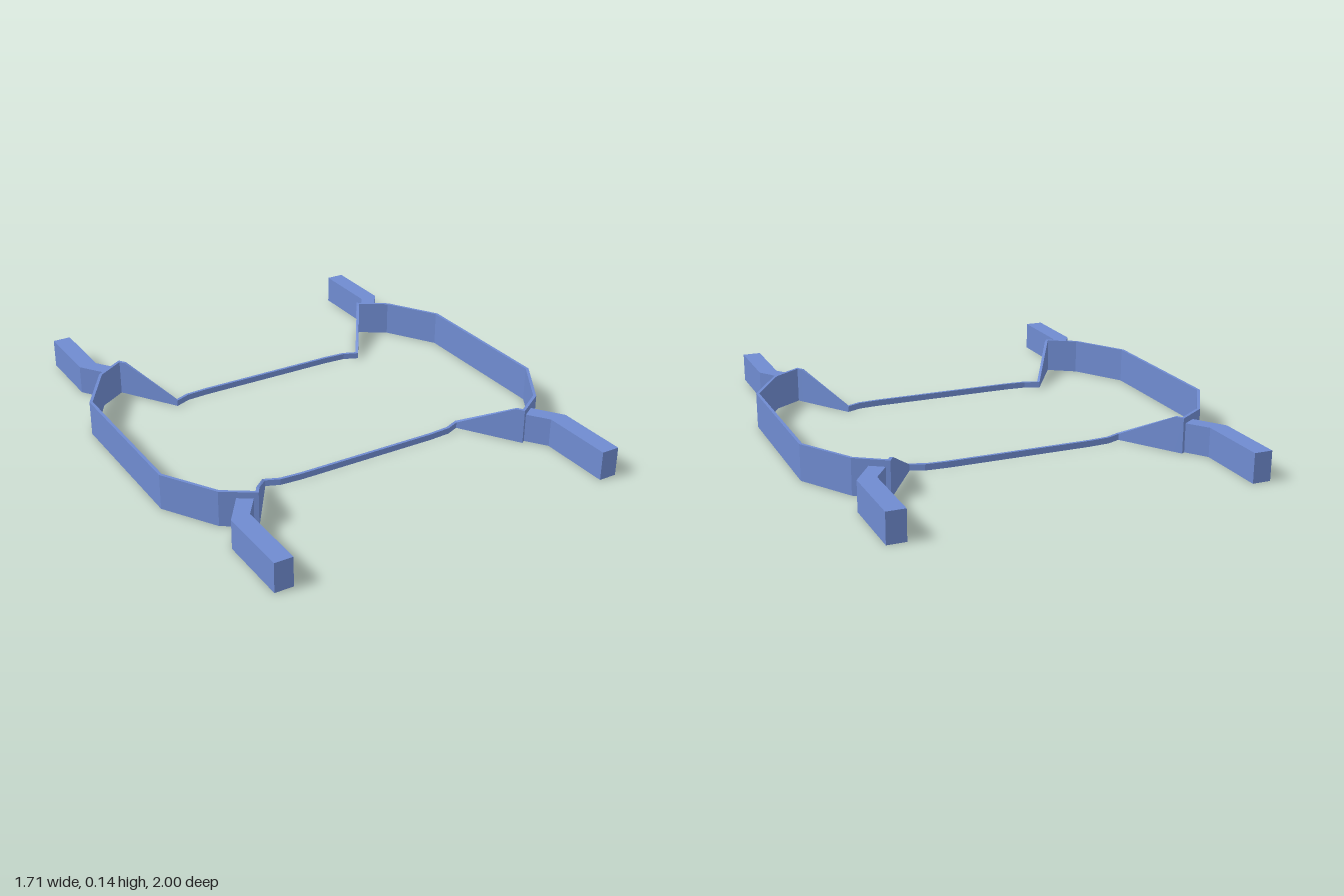
import * as THREE from 'three';

const material = new THREE.MeshStandardMaterial({ color: 0x6f8bd0, flatShading: true });
const WALL = 0.012;
const RAIL_HEIGHT = 0.12;

// One quarter of the wall centreline, from front middle to side middle: [x, z, top height]
const QUARTER = [
  [0.3, 0.408, 0.025], [0.39, 0.402, 0.025], [0.448, 0.378, 0.025],
  [0.585, 0.588, 0.145], [0.602, 0.614, 0.145], [0.718, 0.538, 0.145], [0.847, 0.328, 0.145],
];

// Rail plan in one quarter: straight bar with an angled foot meeting the wall
const RAIL = [[0.675, 1], [0.75, 1], [0.75, 0.695], [0.665, 0.573], [0.612, 0.608], [0.675, 0.695]];

// Thin closed wall of varying height, with mitred corners
function wallGeometry(points) {
  const count = points.length;
  const normal = (a, b) => {
    const dx = b[0] - a[0], dz = b[1] - a[1], len = Math.hypot(dx, dz);
    return [-dz / len, dx / len];
  };
  const position = [], index = [];
  points.forEach((p, i) => {
    const n = normal(points[(i + count - 1) % count], p);
    const m = normal(p, points[(i + 1) % count]);
    const k = WALL / 2 / (1 + n[0] * m[0] + n[1] * m[1]);
    const ox = (n[0] + m[0]) * k, oz = (n[1] + m[1]) * k;
    // Cross-section: outer bottom, outer top, inner top, inner bottom
    for (const [side, y] of [[1, 0], [1, p[2]], [-1, p[2]], [-1, 0]]) {
      position.push(p[0] + side * ox, y, p[1] + side * oz);
    }
    const a = i * 4, b = ((i + 1) % count) * 4;
    for (let c = 0; c < 4; c++) {
      const d = (c + 1) % 4;
      index.push(a + c, b + c, b + d, a + c, b + d, a + d);
    }
  });
  const indexed = new THREE.BufferGeometry();
  indexed.setAttribute('position', new THREE.Float32BufferAttribute(position, 3));
  indexed.setIndex(index);
  const geometry = indexed.toNonIndexed();
  geometry.computeVertexNormals();
  return geometry;
}

function railGeometry(sx, sz) {
  const shape = new THREE.Shape(RAIL.map(([x, z]) => new THREE.Vector2(x * sx, z * sz)));
  const geometry = new THREE.ExtrudeGeometry(shape, { depth: RAIL_HEIGHT, bevelEnabled: false });
  return geometry.rotateX(Math.PI / 2).translate(0, RAIL_HEIGHT, 0);
}

export function createModel() {
  const model = new THREE.Group();
  model.name = 'frame';
  const add = (name, geometry) => {
    const mesh = new THREE.Mesh(geometry, material);
    mesh.name = name;
    model.add(mesh);
  };

  // Perimeter wall: low front and back strips, sloped wings, tall side panels
  const mirror = (sx, sz) => QUARTER.map(([x, z, h]) => [x * sx, z * sz, h]);
  add('perimeterWall', wallGeometry([
    ...mirror(1, 1), ...mirror(1, -1).reverse(), ...mirror(-1, -1), ...mirror(-1, 1).reverse(),
  ]));

  // Four corner rails
  for (const [sx, side] of [[1, 'Left'], [-1, 'Right']]) {
    add('front' + side + 'Rail', railGeometry(sx, 1));
    add('back' + side + 'Rail', railGeometry(sx, -1));
  }
  return model;
}
